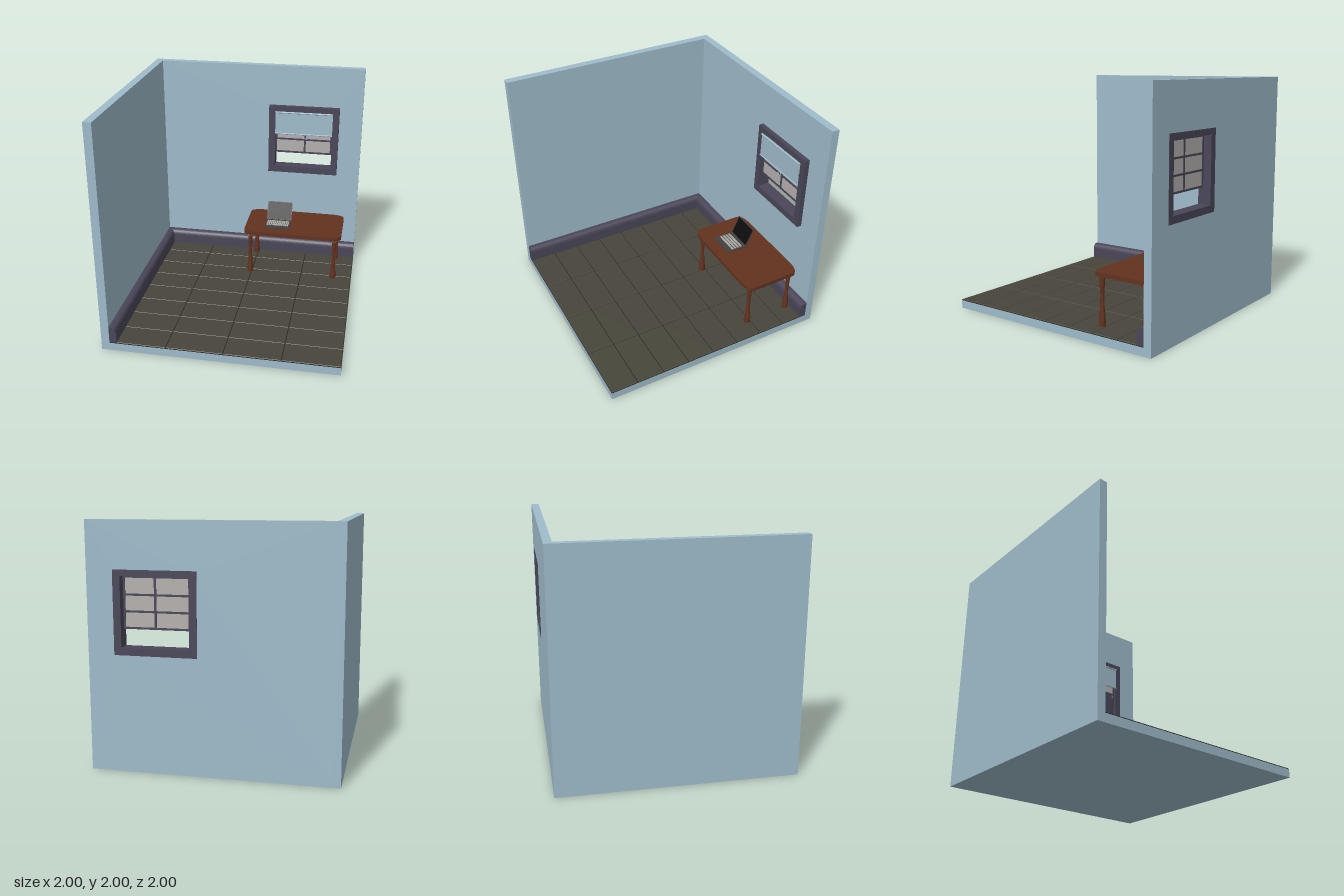
import * as THREE from 'three';

const mats = {};
function mat(color, double) {
  const key = color + (double ? 'd' : '');
  return (mats[key] ??= new THREE.MeshStandardMaterial({
    color, flatShading: true, side: double ? THREE.DoubleSide : THREE.FrontSide,
  }));
}
const WALL = 0x9fbccb, TRIM = 0x4a4658, WOOD = 0x63321f, TILE = 0x48463b, GROUT = 0x24231d;
const PANE = 0xb4b0ae, METAL = 0x42413f, BLACK = 0x0c0c0c, KEY = 0xb0aeaa;

function add(parent, name, geo, color) {
  const mesh = new THREE.Mesh(geo, mat(color));
  mesh.name = name;
  parent.add(mesh);
  return mesh;
}
// Box given by its min and max on each axis
function box(parent, name, color, x0, x1, y0, y1, z0, z1) {
  const mesh = add(parent, name, new THREE.BoxGeometry(x1 - x0, y1 - y0, z1 - z0), color);
  mesh.position.set((x0 + x1) / 2, (y0 + y1) / 2, (z0 + z1) / 2);
  return mesh;
}
function group(parent, name) {
  const g = new THREE.Group();
  g.name = name;
  parent.add(g);
  return g;
}
function rectPath(p, x0, x1, y0, y1) {
  p.moveTo(x0, y0);
  p.lineTo(x1, y0);
  p.lineTo(x1, y1);
  p.lineTo(x0, y1);
  p.closePath();
  return p;
}
// Flat rectangle with a rectangular hole, extruded along z
function framed(outer, inner, depth) {
  const s = rectPath(new THREE.Shape(), ...outer);
  s.holes.push(rectPath(new THREE.Path(), ...inner));
  return new THREE.ExtrudeGeometry(s, { depth, bevelEnabled: false });
}

function buildRoom(root) {
  const room = group(root, 'room');
  box(room, 'floorSlab', WALL, -1, 1, 0, 0.07, -0.997, 1);
  box(room, 'sideWall', WALL, -1, -0.93, 0.07, 2, -0.997, 1);
  const back = framed([-0.93, 1, 0.07, 2], [0.15, 0.755, 0.98, 1.59], 0.067);
  add(room, 'backWall', back, WALL).position.z = -0.997;

  // Tiles with bevelled edges on a dark bed
  box(room, 'grout', GROUT, -0.93, 1, 0.07, 0.073, -0.93, 1);
  const w = 1.93 / 4, d = 1.93 / 8, b = 0.003;
  const s = rectPath(new THREE.Shape(), -w / 2 + 0.006, w / 2 - 0.006, -d / 2 + 0.006, d / 2 - 0.006);
  const tile = new THREE.ExtrudeGeometry(s, {
    depth: 0.004, bevelThickness: b, bevelSize: b, bevelSegments: 1,
  }).rotateX(-Math.PI / 2);
  const tiles = group(room, 'floorTiles');
  for (let i = 0; i < 4; i++)
    for (let j = 0; j < 8; j++)
      add(tiles, 'tile', tile, TILE).position.set(-0.93 + (i + 0.5) * w, 0.073, -0.93 + (j + 0.5) * d);

  // Baseboards with a rounded upper edge
  const p = new THREE.Shape();
  p.moveTo(0, 0.075);
  p.lineTo(0.063, 0.075);
  p.lineTo(0.063, 0.17);
  p.quadraticCurveTo(0.06, 0.215, 0.02, 0.22);
  p.lineTo(0, 0.22);
  p.closePath();
  const board = new THREE.ExtrudeGeometry(p, { depth: 1.93, bevelEnabled: false, curveSegments: 8 });
  add(room, 'sideBaseboard', board, TRIM).position.set(-0.93, 0, -0.93);
  const bb = add(room, 'backBaseboard', board, TRIM);
  bb.rotation.y = -Math.PI / 2;
  bb.position.set(1, 0, -0.93);
}

function buildWindow(root) {
  const win = group(root, 'window');
  const x0 = 0.178, x1 = 0.725;
  add(win, 'windowFrame', framed([0.115, 0.785, 0.95, 1.62], [x0, x1, 1.01, 1.57], 0.112), TRIM)
    .position.z = -1;

  // Raised sash: two columns and three rows of panes
  const sash = group(win, 'sash');
  box(sash, 'panes', PANE, x0, x1, 1.155, 1.57, -0.925, -0.919);
  for (const y of [1.157, 1.288, 1.42, 1.56])
    box(sash, 'sashRail', TRIM, x0, x1, y - 0.008, y + 0.008, -0.932, -0.912);
  for (const x of [0.185, 0.465, 0.718])
    box(sash, 'sashStile', TRIM, x - 0.009, x + 0.009, 1.149, 1.57, -0.931, -0.913);

  // Pull-down shade with roller, hem bar and pull ring
  const shade = group(win, 'shade');
  box(shade, 'shadeCloth', WALL, x0, x1, 1.35, 1.565, -0.884, -0.88);
  for (const [name, y, r] of [['roller', 1.562, 0.009], ['hemBar', 1.352, 0.006]]) {
    const rod = add(shade, name, new THREE.CylinderGeometry(r, r, x1 - x0, 12), WALL);
    rod.rotation.z = Math.PI / 2;
    rod.position.set((x0 + x1) / 2, y, -0.879);
  }
  add(shade, 'pullRing', new THREE.TorusGeometry(0.02, 0.004, 8, 20), WALL).position.set(0.477, 1.328, -0.879);
}

function buildTable(root) {
  const table = group(root, 'table');
  table.position.set(0.4225, 0, -0.6225);
  // Top with elliptical corners
  const hx = 0.4625, hz = 0.2625, rx = 0.11, rz = 0.06;
  const s = new THREE.Shape();
  s.moveTo(-hx + rx, -hz);
  s.lineTo(hx - rx, -hz);
  s.quadraticCurveTo(hx, -hz + 0.01, hx, -hz + rz);
  s.lineTo(hx, hz - rz);
  s.quadraticCurveTo(hx, hz - 0.01, hx - rx, hz);
  s.lineTo(-hx + rx, hz);
  s.quadraticCurveTo(-hx, hz - 0.01, -hx, hz - rz);
  s.lineTo(-hx, -hz + rz);
  s.quadraticCurveTo(-hx, -hz + 0.01, -hx + rx, -hz);
  const top = new THREE.ExtrudeGeometry(s, { depth: 0.035, bevelEnabled: false, curveSegments: 8 });
  add(table, 'tableTop', top.rotateX(-Math.PI / 2), WOOD).position.y = 0.495;

  // Flared eight-sided legs, each bending inward under the top
  const profile = [[0, 0.078], [0.03, 0.078], [0.029, 0.12], [0.022, 0.2], [0.017, 0.27],
    [0.016, 0.34], [0.021, 0.41], [0.021, 0.478], [0, 0.478]].map(([r, y]) => new THREE.Vector2(r, y));
  const leg = new THREE.LatheGeometry(profile, 8, Math.PI / 8);
  const bend = new THREE.Shape([[0.02, 0.47], [-0.02, 0.465], [-0.035, 0.478], [-0.057, 0.486],
    [-0.057, 0.497], [-0.01, 0.497], [0.012, 0.487]].reverse().map(([a, y]) => new THREE.Vector2(a, y)));
  const brace = new THREE.ExtrudeGeometry(bend, { depth: 0.038, bevelEnabled: false })
    .translate(0, 0, -0.019).rotateY(-Math.PI / 2);
  for (const sx of [-1, 1])
    for (const sz of [-1, 1]) {
      const g = group(table, 'tableLeg');
      g.position.set(sx * 0.402, 0, sz * 0.205);
      if (sz < 0) g.rotation.y = Math.PI;
      add(g, 'legPost', leg, WOOD);
      add(g, 'legBrace', brace, WOOD);
    }
}

function buildLaptop(root) {
  const laptop = group(root, 'laptop');
  laptop.position.set(0.265, 0.53, -0.655);
  // Base with rounded front corners
  const s = new THREE.Shape();
  s.moveTo(-0.12, 0);
  s.lineTo(-0.12, -0.175);
  s.quadraticCurveTo(-0.12, -0.19, -0.105, -0.19);
  s.lineTo(0.105, -0.19);
  s.quadraticCurveTo(0.12, -0.19, 0.12, -0.175);
  s.lineTo(0.12, 0);
  s.closePath();
  const base = new THREE.ExtrudeGeometry(s, { depth: 0.009, bevelEnabled: false, curveSegments: 5 });
  add(laptop, 'laptopBase', base.rotateX(-Math.PI / 2), METAL);

  // Four rows of keys, the last with a long space bar
  const keys = group(laptop, 'keys');
  for (let row = 0; row < 4; row++)
    for (let i = 0; i < 12; i++) {
      if (row === 3 && i > 4 && i < 8) continue;
      const long = row === 3 && i === 4;
      const x = -0.106 + i * 0.0178, z = 0.032 + row * 0.0285;
      box(keys, long ? 'spaceBar' : 'key', KEY, x, x + (long ? 0.068 : 0.0145), 0.008, 0.013, z, z + 0.02);
    }

  // Screen leaning back from the hinge
  const screen = group(laptop, 'screen');
  screen.position.set(0, 0.007, 0.001);
  screen.rotation.x = -0.42;
  box(screen, 'screenLid', METAL, -0.12, 0.12, 0, 0.178, -0.006, 0);
  box(screen, 'display', BLACK, -0.113, 0.113, 0.008, 0.171, -0.001, 0.001);
  const hinge = add(laptop, 'hinge', new THREE.CylinderGeometry(0.005, 0.005, 0.2, 10), METAL);
  hinge.rotation.z = Math.PI / 2;
  hinge.position.y = 0.007;
}

export function createModel() {
  const root = new THREE.Group();
  root.name = 'roomCorner';
  buildRoom(root);
  buildWindow(root);
  buildTable(root);
  buildLaptop(root);
  return root;
}
